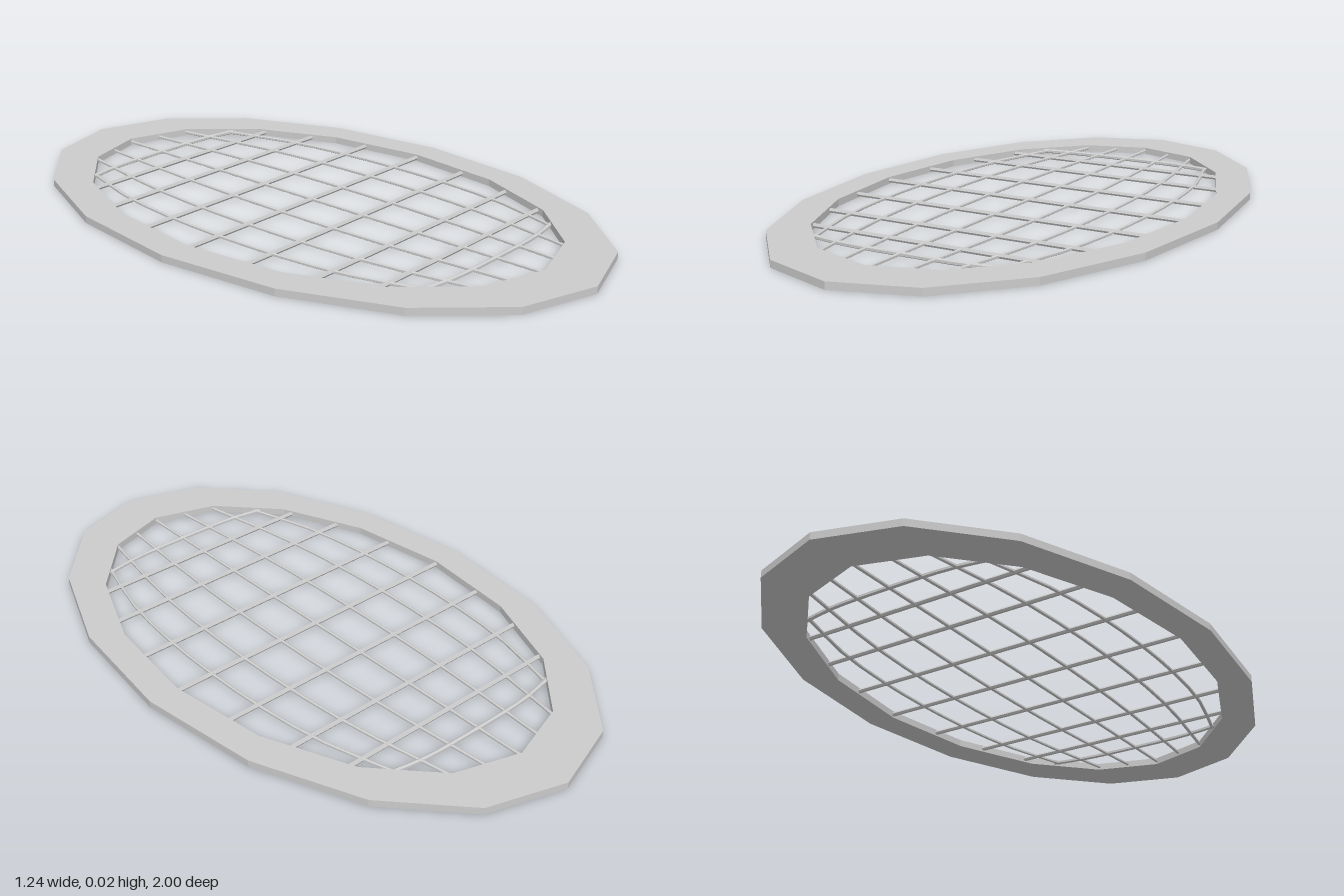
import * as THREE from 'three';

const THICK = 0.022;

export function createModel() {
  const group = new THREE.Group();
  const material = new THREE.MeshStandardMaterial({ color: 0xcccccc, flatShading: true });

  const add = (name, geometry) => {
    const mesh = new THREE.Mesh(geometry, material);
    mesh.name = name;
    group.add(mesh);
  };

  // Sixteen-sided oval outline
  const oval = (rx, rz) => Array.from({ length: 16 }, (_, i) => {
    const a = (i / 16) * Math.PI * 2;
    return new THREE.Vector2(rx * Math.cos(a), rz * Math.sin(a));
  });

  // Flat faceted rim
  const outline = new THREE.Shape(oval(0.62, 1));
  outline.holes.push(new THREE.Path(oval(0.525, 0.84)));
  const rim = new THREE.ExtrudeGeometry(outline, { depth: THICK, bevelEnabled: false });
  rim.rotateX(-Math.PI / 2);
  add('rim', rim);

  // Thin wire through [x, z] points at mid thickness
  const wire = (name, points, radius) => {
    const curve = new THREE.CatmullRomCurve3(
      points.map(([x, z]) => new THREE.Vector3(x, THICK / 2, z)));
    add(name, new THREE.TubeGeometry(curve, points.length > 2 ? 12 : 1, radius, 6));
  };

  // Long strings: x at the middle, x at the shoulder, x and z at the end
  const longStrings = [
    [0, 0, 0, 0.86],
    [0.14, 0.13, 0.1, 0.825],
    [0.28, 0.26, 0.197, 0.79],
    [0.4, 0.37, 0.3, 0.67],
  ];
  for (const [mid, shoulder, end, z] of longStrings) {
    for (const s of mid ? [-1, 1] : [1]) {
      wire('longString',
        [[s * end, -z], [s * shoulder, -0.41], [s * mid, 0], [s * shoulder, 0.41], [s * end, z]],
        0.0055);
    }
  }

  // Straight cross strings: z position and half length
  for (const [z, half] of [[0, 0.54], [0.203, 0.515], [0.407, 0.46], [0.568, 0.39]]) {
    for (const s of z ? [-1, 1] : [1]) {
      wire('crossString', [[-half, s * z], [half, s * z]], 0.007);
    }
  }

  // Bowed cross strings near both ends
  for (const s of [-1, 1]) {
    wire('endString',
      [[-0.315, s * 0.658], [-0.2, s * 0.677], [0, s * 0.682], [0.2, s * 0.677], [0.315, s * 0.658]],
      0.007);
  }

  return group;
}
